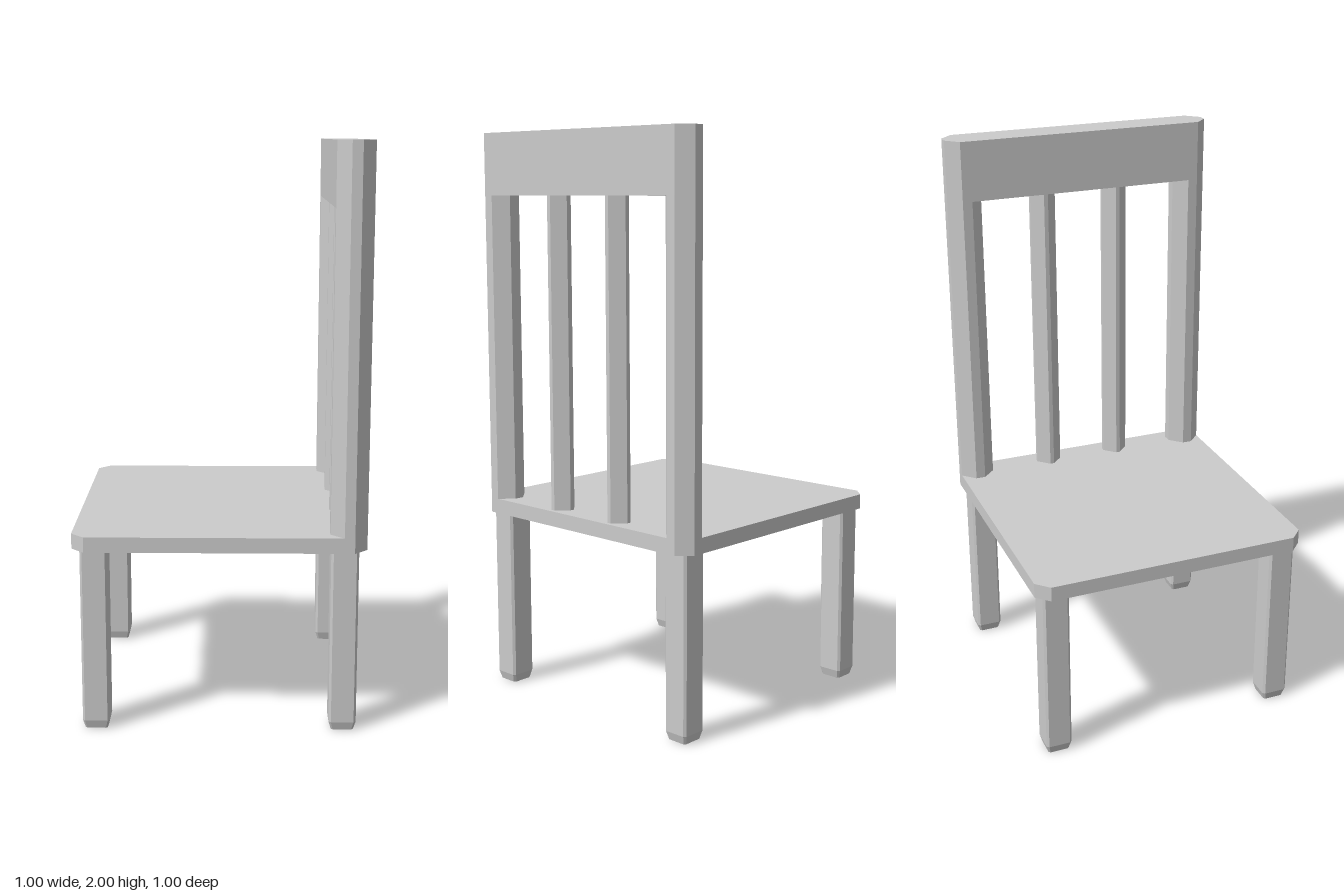
import * as THREE from 'three';

const material = new THREE.MeshStandardMaterial({ color: 0xcccccc, flatShading: true });

// Upright block with its four vertical corners cut off by c
function prism(w, d, c, y0, y1, steps = 1) {
  const a = w / 2, b = d / 2;
  const outline = new THREE.Shape([
    [a, -b + c], [a, b - c], [a - c, b], [-a + c, b],
    [-a, b - c], [-a, -b + c], [-a + c, -b], [a - c, -b],
  ].map(([x, y]) => new THREE.Vector2(x, y)));
  const geometry = new THREE.ExtrudeGeometry(outline, { depth: y1 - y0, steps, bevelEnabled: false });
  return geometry.rotateX(-Math.PI / 2).translate(0, y0, 0);
}

// Leg block whose lowest edge is bevelled inwards
function legGeometry(size, height) {
  const geometry = prism(size, size, 0.008, 0, height, 2);
  const p = geometry.attributes.position;
  for (let i = 0; i < p.count; i++) {
    const y = p.getY(i);
    if (y < 0.01) p.setXYZ(i, p.getX(i) * 0.82, 0, p.getZ(i) * 0.82);
    else if (y < height - 0.01) p.setY(i, 0.03);
  }
  geometry.computeVertexNormals();
  return geometry;
}

export function createModel() {
  const chair = new THREE.Group();
  chair.name = 'chair';

  const add = (name, geometry, x = 0, z = 0) => {
    const mesh = new THREE.Mesh(geometry, material);
    mesh.name = name;
    mesh.position.set(x, 0, z);
    chair.add(mesh);
  };

  const seatBottom = 0.645, seatTop = 0.698, railBottom = 1.785, top = 2;
  const backX = 0.4375, cut = 0.045;

  // Seat and top rail
  add('seat', prism(1, 1, cut, seatBottom, seatTop));
  add('topRail', prism(0.125, 1, cut, railBottom, top), backX);

  // Legs, back posts and slats, mirrored side to side
  const leg = legGeometry(0.094, seatBottom);
  const post = prism(0.125, 0.125, cut, seatTop, railBottom);
  const slat = prism(0.095, 0.095, 0.04, seatTop, railBottom);
  for (const side of [-1, 1]) {
    add('frontLeg', leg, -0.425, side * 0.428);
    add('backLeg', leg, 0.425, side * 0.428);
    add('backPost', post, backX, side * 0.4375);
    add('backSlat', slat, backX, side * 0.14);
  }
  return chair;
}
